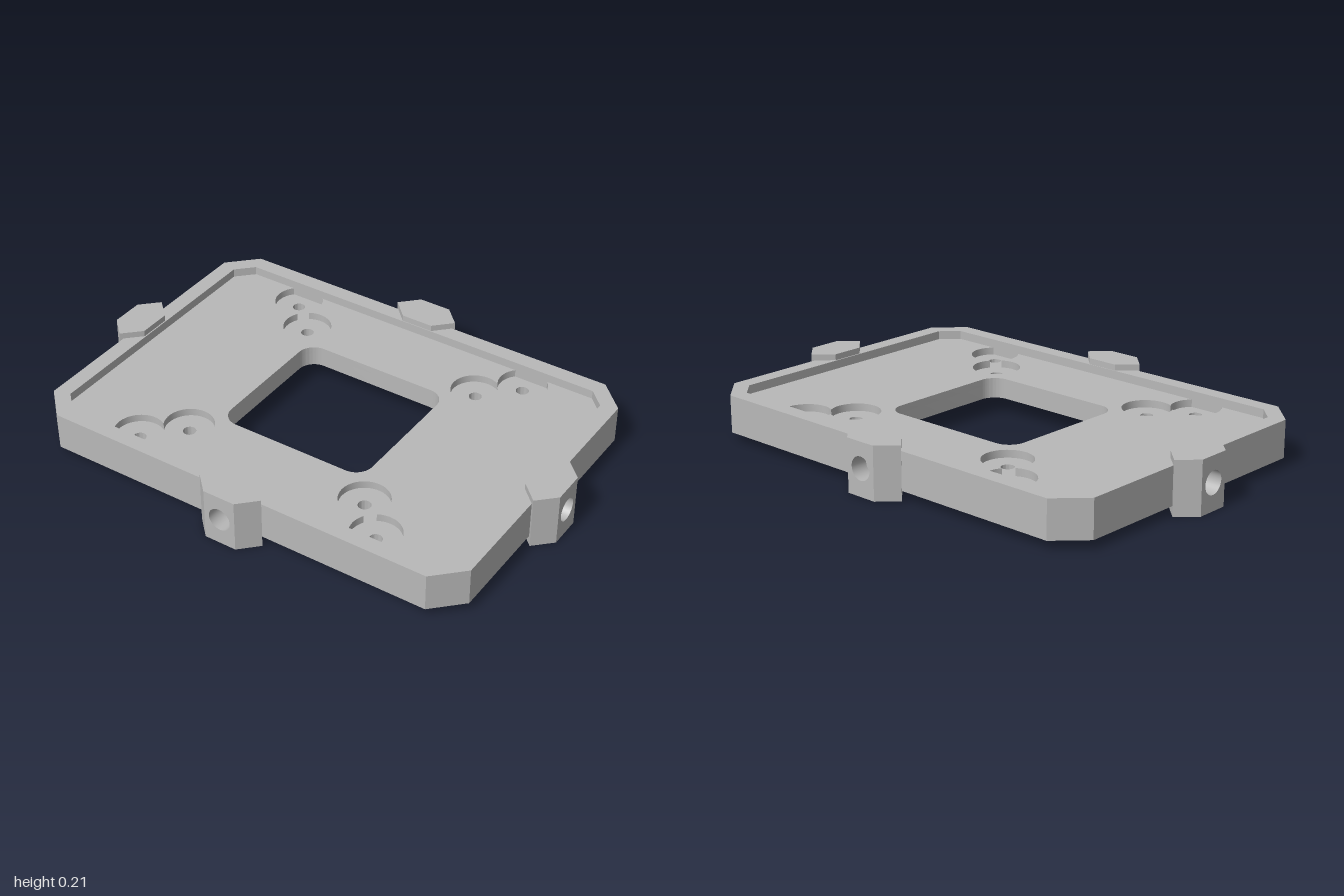
import * as THREE from 'three';
import { toCreasedNormals } from 'three/addons/utils/BufferGeometryUtils.js';

const V = (x, y) => new THREE.Vector2(x, y);

// Rectangle with cut corners, counter-clockwise
function chamferRect(w, d, c) {
  return [V(w, -d + c), V(w, d - c), V(w - c, d), V(-w + c, d),
    V(-w, d - c), V(-w, -d + c), V(-w + c, -d), V(w - c, -d)];
}

function circlePath(x, y, r) {
  return new THREE.Path().absarc(x, y, r, 0, Math.PI * 2, true);
}

// Rounded window through the plate
function windowPath(w, d, r) {
  const p = new THREE.Path();
  p.absarc(w - r, d - r, r, 0, Math.PI / 2, false);
  p.absarc(-w + r, d - r, r, Math.PI / 2, Math.PI, false);
  p.absarc(-w + r, -d + r, r, Math.PI, Math.PI * 1.5, false);
  p.absarc(w - r, -d + r, r, Math.PI * 1.5, Math.PI * 2, false);
  p.closePath();
  return p;
}

// Extrude a plan shape upwards from y0 to y1
function slab(shape, y0, y1) {
  const g = new THREE.ExtrudeGeometry(shape, { depth: y1 - y0, bevelEnabled: false, curveSegments: 20 });
  g.rotateX(-Math.PI / 2).translate(0, y0, 0);
  return toCreasedNormals(g, 0.5);
}

export function createModel() {
  const group = new THREE.Group();
  const grey = new THREE.MeshStandardMaterial({ color: 0xb8b8b8 });
  grey.name = 'grey';
  const add = (name, geometry, parent = group) => {
    const m = new THREE.Mesh(geometry, grey);
    m.name = name;
    parent.add(m);
    return m;
  };

  const W = 0.855, D = 0.592, C = 0.066;      // inside of the rim
  const A = 0.525, B = 0.392, R = 0.097;      // screw seat centres and radius
  const signs = [[1, 1], [-1, 1], [-1, -1], [1, -1]];

  // Raised rim, standing proud above and below the plate
  const rim = new THREE.Shape(chamferRect(0.92, 0.657, 0.11));
  rim.holes.push(new THREE.Path(chamferRect(W, D, C)));
  add('rim', slab(rim, 0.035, 0.185));

  // Lower plate with window and screw holes
  const lower = new THREE.Shape(chamferRect(W, D, C));
  lower.holes.push(windowPath(0.317, 0.296, 0.07));
  for (const [sx, sy] of signs) {
    for (const c of [A, B]) lower.holes.push(circlePath(sx * c, sy * c, 0.025));
  }
  add('lowerPlate', slab(lower, 0.068, 0.12));

  // Edge of the paired round seats in one corner, open at the rim
  const arc = (c, a0, a1, n) => Array.from({ length: n + 1 }, (_, i) => {
    const a = a0 + (a1 - a0) * i / n;
    return V(c + R * Math.cos(a), c + R * Math.sin(a));
  });
  const open = Math.asin((D - A) / R);
  const half = Math.acos((A - B) * Math.SQRT1_2 / R);
  const q = Math.PI / 4;
  const notch = [
    ...arc(A, open, -3 * q + half, 18),
    ...arc(B, q - half, q + half - 2 * Math.PI, 36),
    ...arc(A, 5 * q - half, Math.PI - open, 10),
  ];

  // Upper plate, notched by the seats
  const outline = [];
  for (const [sx, sy] of signs) {
    const corner = [V(W, D - C), V(W - C, D), ...notch].map(p => V(p.x * sx, p.y * sy));
    outline.push(...(sx * sy > 0 ? corner : corner.reverse()));
  }
  const upper = new THREE.Shape(outline);
  upper.holes.push(windowPath(0.317, 0.296, 0.07));
  add('upperPlate', slab(upper, 0.12, 0.15));

  // Six-sided lug with a blind hole in its outer face
  const H = 0.21, hexHalf = 0.07, faceHalf = 0.066, tip = 0.135, holeR = 0.046, holeY = 0.108, depth = 0.07;
  const hex = new THREE.Shape([V(faceHalf, -hexHalf), V(tip, 0), V(faceHalf, hexHalf),
    V(-faceHalf, hexHalf), V(-tip, 0), V(-faceHalf, -hexHalf)]);
  const body = slab(hex, 0, H);
  // Leave the outer face open for the drilled face
  const pos = body.attributes.position, keep = [];
  for (let i = 0; i < pos.count; i += 3) {
    const outer = [0, 1, 2].every(k => pos.getZ(i + k) > hexHalf - 1e-4);
    if (!outer) keep.push(i, i + 1, i + 2);
  }
  body.setIndex(keep);
  const face = new THREE.Shape([V(-faceHalf, 0), V(faceHalf, 0), V(faceHalf, H), V(-faceHalf, H)]);
  face.holes.push(circlePath(0, holeY, holeR));
  const faceGeo = new THREE.ShapeGeometry(face, 16).translate(0, 0, hexHalf);
  // Bore wall turned inside out so that it faces the axis
  const bore = new THREE.CylinderGeometry(holeR, holeR, depth, 32, 1, true);
  bore.index.array.reverse();
  const n = bore.attributes.normal;
  for (let i = 0; i < n.count; i++) n.setXYZ(i, -n.getX(i), -n.getY(i), -n.getZ(i));
  bore.rotateX(Math.PI / 2).translate(0, holeY, hexHalf - depth / 2);
  const boreEnd = new THREE.CircleGeometry(holeR, 32).translate(0, holeY, hexHalf - depth);

  const names = ['frontLug', 'leftLug', 'backLug', 'rightLug'];
  names.forEach((name, i) => {
    const lug = new THREE.Group();
    lug.name = name;
    add('lugBody', body, lug);
    add('lugFace', faceGeo, lug);
    add('lugBore', bore, lug);
    add('lugBoreEnd', boreEnd, lug);
    const a = i * Math.PI / 2, r = i % 2 ? 0.93 : 0.665;
    lug.rotation.y = a;
    lug.position.set(Math.sin(a) * r, 0, Math.cos(a) * r);
    group.add(lug);
  });

  return group;
}
